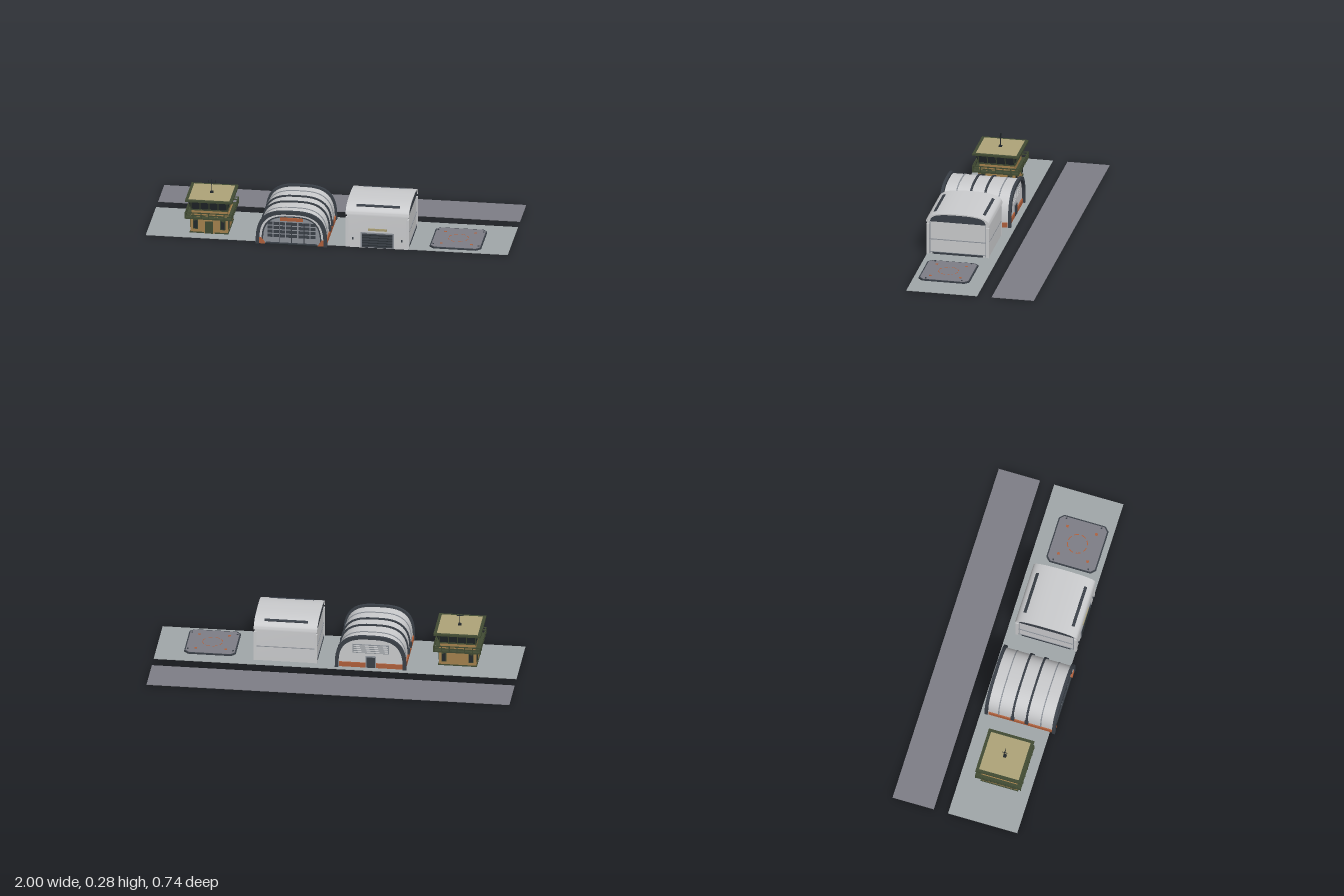
import * as THREE from 'three';
import { toCreasedNormals } from 'three/addons/utils/BufferGeometryUtils.js';

const paint = (name, color) => {
  const m = new THREE.MeshStandardMaterial({ color });
  m.name = name;
  return m;
};
const M = {
  concrete: paint('concrete', 0xa0a6a8), asphalt: paint('asphalt', 0x7e7e86),
  white: paint('pale metal', 0xcbccce), dark: paint('dark steel', 0x3a4048),
  grey: paint('mid grey', 0x8d9299), orange: paint('rust orange', 0xb0603c),
  tan: paint('tan wall', 0xa5824e), sand: paint('sand', 0xaea378),
  green: paint('dark olive', 0x414b33), glass: paint('dark glass', 0x23292c),
};

const group = (name, parent, x = 0, z = 0) => {
  const g = new THREE.Group();
  g.name = name;
  g.position.set(x, 0, z);
  parent.add(g);
  return g;
};
const add = (parent, name, geo, mat, x = 0, y = 0, z = 0) => {
  const m = new THREE.Mesh(geo, mat);
  m.name = name;
  m.position.set(x, y, z);
  parent.add(m);
  return m;
};
// Box placed by its base height
const box = (p, name, mat, w, h, d, x, y, z) =>
  add(p, name, new THREE.BoxGeometry(w, h, d), mat, x, y + h / 2, z);

// Rounded arch outline standing on straight walls of height base
const archPoints = (rx, ry, base, n, steps = 32) => {
  const pts = [];
  for (let i = 0; i <= steps; i++) {
    const a = (i / steps) * Math.PI, c = Math.cos(a);
    pts.push(new THREE.Vector2(
      rx * Math.sign(c) * Math.abs(c) ** (2 / n),
      base + ry * Math.max(0, Math.sin(a)) ** (2 / n)));
  }
  return pts;
};
const extrude = (pts, depth) => {
  const g = new THREE.ExtrudeGeometry(new THREE.Shape(pts), { depth, bevelEnabled: false });
  g.translate(0, 0, -depth / 2);
  return toCreasedNormals(g, 0.5);
};
const arch = (rx, ry, depth, base = 0, n = 3) => {
  const pts = archPoints(rx, ry, base, n);
  if (base) pts.push(new THREE.Vector2(-rx, 0), new THREE.Vector2(rx, 0));
  return extrude(pts, depth);
};
const archRing = (rx, ry, t, depth, base = 0, n = 3) =>
  extrude([...archPoints(rx, ry, base, n), ...archPoints(rx - t, ry - t, base, n).reverse()], depth);

function buildTower(root) {
  const t = group('controlTower', root, -0.66, 0.167);
  box(t, 'towerBody', M.tan, 0.206, 0.1, 0.206, 0, 0, 0);
  box(t, 'towerPlinth', M.green, 0.214, 0.01, 0.214, 0, 0, 0);
  box(t, 'balconyDeck', M.green, 0.256, 0.008, 0.256, 0, 0.092, 0);
  box(t, 'cabWall', M.tan, 0.194, 0.04, 0.194, 0, 0.1, 0);
  // Flared glazing
  const glass = new THREE.CylinderGeometry(0.116 * Math.SQRT2, 0.099 * Math.SQRT2, 0.055, 4).toNonIndexed();
  glass.rotateY(Math.PI / 4);
  glass.computeVertexNormals();
  add(t, 'cabGlass', glass, M.glass, 0, 0.1665, 0);
  box(t, 'windowSill', M.green, 0.206, 0.007, 0.206, 0, 0.135, 0);
  // The four sides repeat
  for (let s = 0; s < 4; s++) {
    const side = group('towerSide', t);
    side.rotation.y = s * Math.PI / 2;
    for (const x of [-0.075, 0.075]) {
      box(side, 'windowFrame', M.green, 0.028, 0.056, 0.005, x, 0.027, 0.104);
      box(side, 'window', M.glass, 0.02, 0.047, 0.005, x, 0.031, 0.1055);
    }
    for (let i = -2; i <= 2; i++) {
      const m = box(side, 'mullion', M.green, 0.005, 0.058, 0.005, i * 0.05, 0.138, 0.108);
      m.rotation.x = 0.3;
    }
    for (const y of [0.113, 0.127])
      box(side, 'rail', M.green, 0.262, 0.005, 0.005, 0, y, 0.1285);
    for (let i = -3; i <= 3; i++)
      box(side, 'railPost', M.green, 0.005, 0.036, 0.005, i * 0.0425, 0.094, 0.1285);
    for (const x of [-0.08, 0.08])
      box(side, 'deckBracket', M.green, 0.01, 0.012, 0.02, x, 0.081, 0.112);
  }
  box(t, 'doorFrame', M.tan, 0.058, 0.08, 0.008, 0, 0, 0.104);
  box(t, 'door', M.green, 0.046, 0.073, 0.008, 0, 0.002, 0.106);
  // Roof with sunken sand field and mast
  box(t, 'roofSlab', M.green, 0.26, 0.01, 0.26, 0, 0.192, 0);
  box(t, 'roofField', M.sand, 0.226, 0.003, 0.226, 0, 0.201, 0);
  box(t, 'mastFoot', M.glass, 0.018, 0.008, 0.018, 0, 0.203, 0);
  add(t, 'mast', new THREE.CylinderGeometry(0.002, 0.002, 0.08, 8), M.glass, 0, 0.243, 0);
  box(t, 'mastCrossX', M.glass, 0.038, 0.003, 0.003, 0, 0.258, 0);
  box(t, 'mastCrossZ', M.glass, 0.003, 0.003, 0.028, 0, 0.256, 0);
  for (const x of [-0.018, 0.018])
    box(t, 'aerialTip', M.glass, 0.002, 0.018, 0.002, x, 0.258, 0);
}

function buildArchedHangar(root) {
  const h = group('archedHangar', root, -0.192, 0.169);
  add(h, 'shell', arch(0.186, 0.189, 0.366), M.white);
  box(h, 'hangarFloor', M.glass, 0.38, 0.003, 0.39, 0, 0, 0);
  for (const z of [-0.193, 0.193]) add(h, 'endFrame', archRing(0.197, 0.2, 0.019, 0.016), M.dark, 0, 0, z);
  for (const z of [-0.043, 0.037]) {
    add(h, 'mainRib', archRing(0.193, 0.196, 0.008, 0.011), M.dark, 0, 0, z);
    for (const s of [-1, 1]) box(h, 'ribBracket', M.dark, 0.012, 0.03, 0.02, s * 0.191, 0.03, z);
  }
  for (const z of [-0.123, 0.117]) add(h, 'slimRib', archRing(0.189, 0.192, 0.005, 0.006), M.grey, 0, 0, z);
  for (const s of [-1, 1]) {
    box(h, 'sideSkirt', M.orange, 0.012, 0.028, 0.36, s * 0.187, 0.002, 0);
    // Sloping buttress beside the front door
    const b = extrude([new THREE.Vector2(0.145, 0), new THREE.Vector2(0.188, 0),
      new THREE.Vector2(0.184, 0.036), new THREE.Vector2(0.168, 0.036)], 0.02);
    if (s < 0) b.rotateY(Math.PI);
    add(h, 'buttress', b, M.orange, 0, 0.002, 0.188);
  }
  // Front portal
  add(h, 'portalLining', archRing(0.178, 0.181, 0.012, 0.012), M.white, 0, 0, 0.188);
  add(h, 'portalTrim', archRing(0.166, 0.169, 0.008, 0.01), M.dark, 0, 0, 0.186);
  add(h, 'portalWall', arch(0.158, 0.161, 0.006), M.grey, 0, 0, 0.183);
  box(h, 'lintel', M.orange, 0.125, 0.018, 0.01, 0, 0.139, 0.188);
  for (let r = 0; r < 4; r++)
    for (let c = 0; c < 8; c++)
      box(h, 'doorPanel', M.dark, 0.028, 0.017, 0.004, (c - 3.5) * 0.034, 0.04 + r * 0.024, 0.187);
  for (let c = -1; c <= 1; c++) box(h, 'doorSeam', M.dark, 0.004, 0.125, 0.005, c * 0.068, 0.004, 0.187);
  box(h, 'doorTrack', M.dark, 0.28, 0.006, 0.01, 0, 0.003, 0.188);
  // Back wall
  for (const s of [-1, 1]) box(h, 'backSkirt', M.orange, 0.145, 0.028, 0.01, s * 0.102, 0.003, -0.185);
  box(h, 'backDoorFrame', M.grey, 0.056, 0.07, 0.008, 0, 0.003, -0.185);
  box(h, 'backDoor', M.dark, 0.046, 0.063, 0.008, 0, 0.003, -0.187);
  box(h, 'louvrePanel', M.grey, 0.2, 0.052, 0.006, 0, 0.09, -0.184);
  for (let i = 0; i < 4; i++) box(h, 'louvre', M.white, 0.19, 0.006, 0.005, 0, 0.095 + i * 0.012, -0.187);
}

function buildWarehouse(root) {
  const w = group('warehouse', root, 0.28, 0.17);
  // Curved roof runs along x
  const turn = g => g.rotateY(Math.PI / 2);
  add(w, 'hall', turn(arch(0.172, 0.052, 0.336, 0.192, 2.6)), M.white);
  add(w, 'roofShell', turn(archRing(0.177, 0.056, 0.007, 0.35, 0.191, 2.6)), M.white);
  box(w, 'warehouseFloor', M.glass, 0.34, 0.003, 0.34, 0, 0, 0);
  for (const s of [-1, 1]) {
    add(w, 'gable', turn(extrude(archPoints(0.154, 0.046, 0.194, 2.6), 0.005)), M.dark, s * 0.169, 0, 0);
    box(w, 'sideBand', M.grey, 0.006, 0.004, 0.335, s * 0.169, 0.088, 0);
    box(w, 'sideFoot', M.dark, 0.006, 0.012, 0.28, s * 0.17, 0.003, 0);
    box(w, 'sideBase', M.grey, 0.005, 0.004, 0.34, s * 0.169, 0.013, 0);
    for (const z of [-0.167, 0.167]) {
      box(w, 'cornerPost', M.white, 0.016, 0.174, 0.016, s * 0.167, 0.003, z);
      box(w, 'postSeam', M.grey, 0.004, 0.19, 0.003, s * 0.1675, 0.003, z * 0.93);
    }
    // Long roof vent lying on the slope
    const v = box(w, 'roofVent', M.dark, 0.24, 0.008, 0.016, 0, 0.229, s * 0.137);
    v.rotation.x = s * 0.4;
    box(w, 'wallLamp', M.dark, 0.008, 0.012, 0.008, s * 0.135, 0.046, 0.174);
  }
  box(w, 'backBand', M.grey, 0.33, 0.004, 0.005, 0, 0.088, -0.171);
  // Front door and sign
  box(w, 'doorFrame', M.grey, 0.184, 0.088, 0.006, 0, 0.003, 0.172);
  box(w, 'rollerDoor', M.dark, 0.17, 0.08, 0.006, 0, 0.004, 0.1735);
  for (let i = 0; i < 5; i++) box(w, 'doorSlat', M.glass, 0.166, 0.003, 0.004, 0, 0.014 + i * 0.015, 0.1755);
  box(w, 'signPlate', M.sand, 0.104, 0.013, 0.006, 0, 0.102, 0.173);
}

function buildPad(root) {
  const p = group('landingPad', root, 0.703, 0.168);
  const octagon = (r, c) => [[r, c], [c, r], [-c, r], [-r, c], [-r, -c], [-c, -r], [c, -r], [r, -c]]
    .map(([x, y]) => new THREE.Vector2(x, y));
  const slab = (name, mat, r, c, h, y) => {
    const g = extrude(octagon(r, c), h);
    g.rotateX(-Math.PI / 2);
    add(p, name, g, mat, 0, y + h / 2, 0);
  };
  slab('padRim', M.dark, 0.142, 0.118, 0.009, 0.003);
  slab('padTop', M.asphalt, 0.135, 0.114, 0.0095, 0.004);
  // Dashed circle and corner markers
  for (let i = 0; i < 8; i++) {
    const d = new THREE.RingGeometry(0.052, 0.057, 6, 1, i * Math.PI / 4 + 0.12, 0.5);
    d.rotateX(-Math.PI / 2);
    add(p, 'circleDash', d, M.orange, 0, 0.0145, 0);
  }
  for (const x of [-1, 1]) for (const z of [-1, 1]) {
    box(p, 'cornerMark', M.orange, 0.014, 0.001, 0.014, x * 0.083, 0.0135, z * 0.083);
    box(p, 'edgeLamp', M.dark, 0.008, 0.006, 0.008, x * 0.125, 0.012, z * 0.1);
  }
}

export function createModel() {
  const root = new THREE.Group();
  root.name = 'airfield';
  box(root, 'apron', M.concrete, 2, 0.003, 0.396, 0, 0.001, 0.143);
  box(root, 'runway', M.asphalt, 2, 0.003, 0.236, 0, 0.001, -0.254);
  buildTower(root);
  buildArchedHangar(root);
  buildWarehouse(root);
  buildPad(root);
  return root;
}
